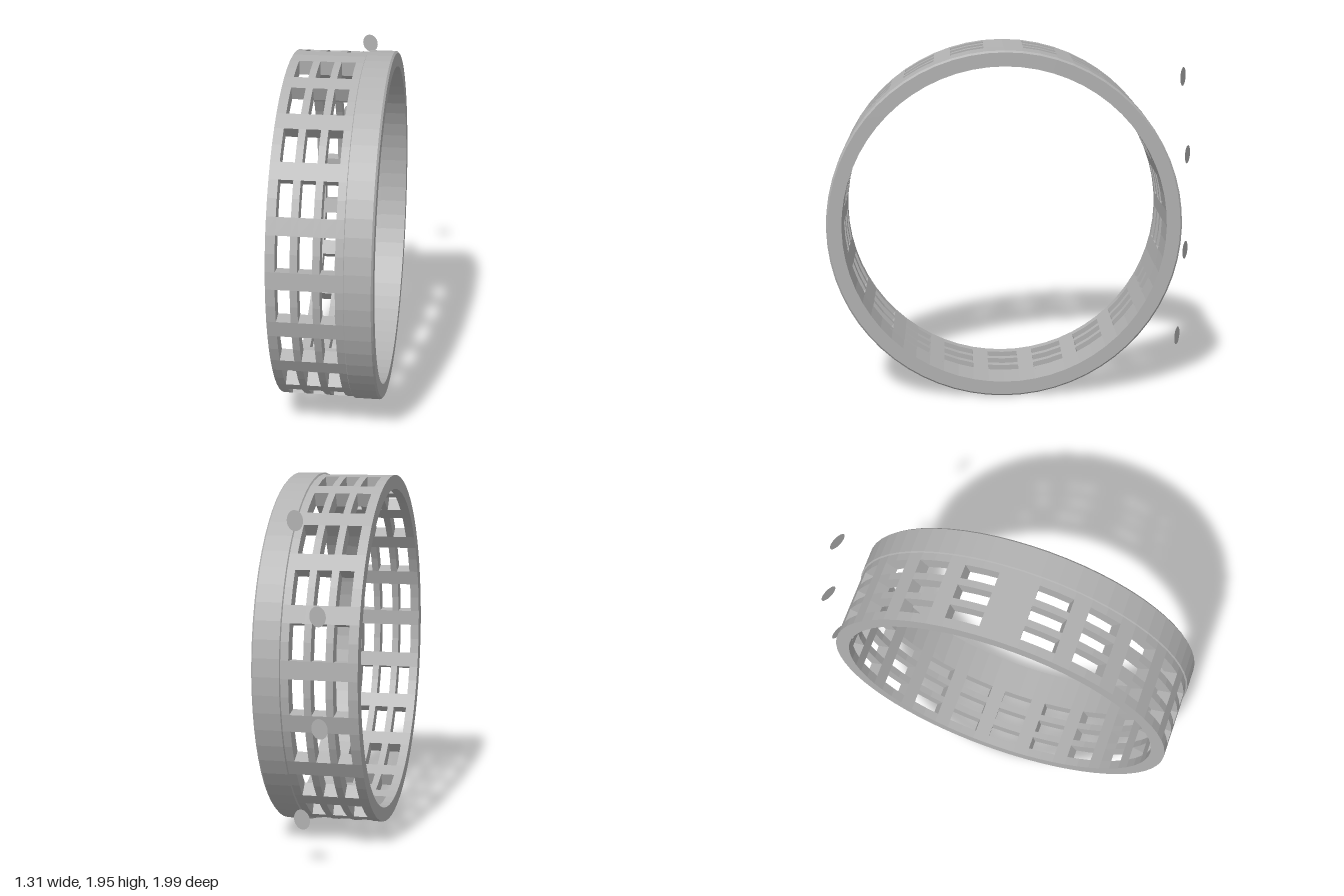
import * as THREE from 'three';
import { mergeGeometries } from 'three/addons/utils/BufferGeometryUtils.js';

const INNER = 0.89, OUTER = 0.967, BAND = 0.975;
const ROWS = 21, STEP = 16.8, HALF = 5.6; // slot rows, in degrees from the bottom
const rad = (deg) => THREE.MathUtils.degToRad(deg - 90);
const point = (r, deg) => new THREE.Vector2(r * Math.cos(rad(deg)), r * Math.sin(rad(deg)));

// Extrude a flat outline along the ring axis between z0 and z1
function slab(shape, z0, z1) {
  return new THREE.ExtrudeGeometry(shape, { depth: z1 - z0, bevelEnabled: false }).translate(0, 0, z0);
}

export function createModel() {
  const grey = new THREE.MeshStandardMaterial({ color: 0xb2b2b2, flatShading: true });
  grey.name = 'grey';
  const discGrey = grey.clone();
  discGrey.side = THREE.DoubleSide;

  const model = new THREE.Group();
  const ring = new THREE.Group();
  ring.name = 'ring';
  ring.position.y = BAND;
  ring.rotation.y = THREE.MathUtils.degToRad(114.9);
  model.add(ring);

  const add = (parent, name, geometry, material = grey) => {
    const mesh = new THREE.Mesh(geometry, material);
    mesh.name = name;
    parent.add(mesh);
    return mesh;
  };

  // Facet angles: two facets per slot, one per web, two over the wider top gap
  const angles = [], webs = [];
  const first = -Math.floor(ROWS / 2);
  for (let i = 0; i < ROWS; i++) {
    const c = (first + i) * STEP;
    angles.push(c - HALF, c, c + HALF);
    if (i < ROWS - 1) webs.push([c + HALF, c + STEP - HALF]);
  }
  angles.push(180);
  const last = -first * STEP + HALF;
  webs.push([last, 180, 360 - last]);

  // Continuous hoops between the slot columns
  const hoop = new THREE.Shape(angles.map((a) => point(OUTER, a)));
  hoop.holes.push(new THREE.Path(angles.map((a) => point(INNER, a)).reverse()));
  const slots = [[-0.225, -0.148], [-0.11, -0.033], [0.005, 0.082]];
  const edges = [-0.275, ...slots.flat(), 0.125];
  for (let i = 0; i < edges.length; i += 2) add(ring, 'hoop', slab(hoop, edges[i], edges[i + 1]));

  // Short webs separating the slots of each column
  for (const [z0, z1] of slots) {
    const parts = webs.map((w) => {
      const outline = [...w.map((a) => point(OUTER, a)), ...w.map((a) => point(INNER, a)).reverse()];
      return slab(new THREE.Shape(outline), z0, z1);
    });
    add(ring, 'slotWebs', mergeGeometries(parts));
  }

  // Plain raised band with small chamfers
  const profile = [
    [INNER, 0.12], [OUTER - 0.006, 0.12], [BAND, 0.128], [BAND, 0.265],
    [BAND - 0.01, 0.275], [INNER, 0.275], [INNER, 0.12],
  ].map(([r, t]) => new THREE.Vector2(r, t));
  add(ring, 'plainBand', new THREE.LatheGeometry(profile, 64).rotateX(Math.PI / 2));

  // Small flat discs floating behind the ring
  for (const [x, y] of [[-0.385, 1.77], [-0.525, 1.305], [-0.535, 0.74], [-0.42, 0.255]]) {
    add(model, 'disc', new THREE.CircleGeometry(0.052, 24), discGrey).position.set(x, y, -0.915);
  }
  return model;
}
